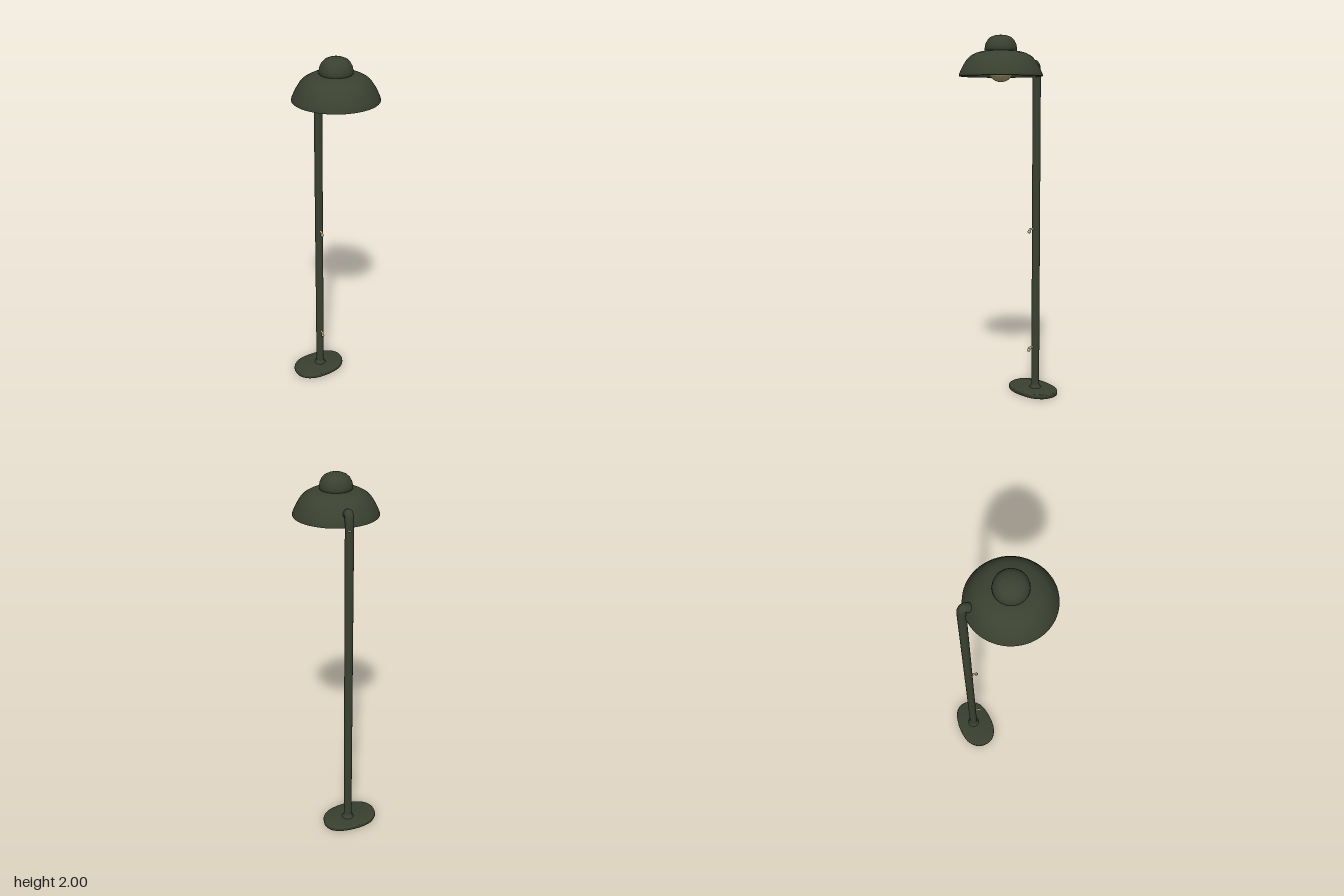
import * as THREE from 'three';
import { toCreasedNormals } from 'three/addons/utils/BufferGeometryUtils.js';

const POLE_Z = -0.177, SHADE_Z = 0.055;

export function createModel() {
  const group = new THREE.Group();
  group.name = 'floorLamp';
  const green = new THREE.MeshStandardMaterial({ color: 0x3a4130 });
  green.name = 'dark olive metal';
  const cream = new THREE.MeshStandardMaterial({ color: 0xbfae83 });
  cream.name = 'warm cream';

  const add = (name, geometry, material, x = 0, y = 0, z = 0) => {
    const mesh = new THREE.Mesh(geometry, material);
    mesh.name = name;
    mesh.position.set(x, y, z);
    group.add(mesh);
    return mesh;
  };
  const v2 = (pts) => pts.map(([x, y]) => new THREE.Vector2(x, y));
  const v3 = (pts) => pts.map((p) => new THREE.Vector3(...p));
  const lathe = (pts, segments = 48) => toCreasedNormals(new THREE.LatheGeometry(v2(pts), segments), 0.7);

  // Pebble-shaped base plate with rounded rim; outline is x, -z
  const outline = v2([
    [0.01, 0.277], [0.07, 0.271], [0.115, 0.25], [0.139, 0.215], [0.143, 0.18], [0.132, 0.135],
    [0.09, 0.093], [0.02, 0.068], [-0.06, 0.06], [-0.12, 0.076], [-0.156, 0.11], [-0.169, 0.16],
    [-0.158, 0.207], [-0.115, 0.25], [-0.05, 0.271],
  ]);
  const curve = new THREE.SplineCurve([...outline, outline[0]]);
  const bevel = 0.008;
  const base = new THREE.ExtrudeGeometry(new THREE.Shape(curve.getPoints(64).slice(0, -1)), {
    depth: 0.028 - 2 * bevel, bevelEnabled: true, bevelSize: bevel, bevelOffset: -bevel,
    bevelThickness: bevel, bevelSegments: 4,
  });
  base.rotateX(-Math.PI / 2).translate(0, bevel, 0);
  add('basePlate', toCreasedNormals(base, 0.7), green);
  add('baseCollar', lathe([[0.036, 0.026], [0.03, 0.031], [0.026, 0.038], [0.023, 0.048]], 24), green, 0, 0, POLE_Z);

  // Pole, curling forward into the shade at its top
  const path = new THREE.CurvePath();
  const bendStart = new THREE.Vector3(0, 1.78, POLE_Z);
  path.add(new THREE.LineCurve3(new THREE.Vector3(0, 0.02, POLE_Z), bendStart));
  const bend = new THREE.CatmullRomCurve3(v3([
    [0, 1.78, POLE_Z], [0, 1.82, POLE_Z + 0.001], [0, 1.848, POLE_Z + 0.006],
    [0, 1.858, POLE_Z + 0.018], [0, 1.85, POLE_Z + 0.033], [0, 1.838, POLE_Z + 0.045],
  ]));
  add('pole', new THREE.CylinderGeometry(0.0225, 0.0225, 1.76, 24, 1, true), green, 0, 0.9, POLE_Z);
  add('poleHook', new THREE.TubeGeometry(bend, 28, 0.0225, 24), green);

  // Domed shade with an inner wall and rolled lip
  add('shade', lathe([
    [0.214, 1.79], [0.217, 1.786], [0.222, 1.788], [0.221, 1.797], [0.211, 1.82], [0.197, 1.847],
    [0.181, 1.872], [0.161, 1.892], [0.136, 1.906], [0.108, 1.914], [0.078, 1.919], [0, 1.92],
  ], 64), green, 0, 0, SHADE_Z);
  add('shadeLining', lathe([
    [0, 1.91], [0.105, 1.905], [0.132, 1.898], [0.156, 1.884], [0.174, 1.865],
    [0.19, 1.842], [0.204, 1.816], [0.214, 1.79],
  ], 64), green, 0, 0, SHADE_Z);

  // Round cap on top of the shade
  add('cap', lathe([
    [0.079, 1.914], [0.085, 1.922], [0.085, 1.934], [0.081, 1.954], [0.071, 1.973],
    [0.056, 1.988], [0.036, 1.997], [0.016, 2], [0, 2],
  ]), green, 0, 0, SHADE_Z);

  // Bulb and its socket
  add('bulb', new THREE.SphereGeometry(0.069, 32, 24), cream, 0, 1.826, SHADE_Z);
  add('socket', new THREE.CylinderGeometry(0.032, 0.032, 0.045, 24), green, 0, 1.892, SHADE_Z);

  // Small cord hooks on the front of the pole
  for (const [name, y] of [['upperCordHook', 0.952], ['lowerCordHook', 0.268]]) {
    const hook = new THREE.CatmullRomCurve3(v3([
      [0, 0, -0.158], [0, 0, -0.143], [0, -0.003, -0.133], [0, -0.013, -0.131],
    ]));
    add(name, new THREE.TubeGeometry(hook, 12, 0.006, 10), cream, 0, y, 0);
    add(name + 'Tip', new THREE.SphereGeometry(0.01, 14, 10), cream, 0, y - 0.013, -0.131)
      .scale.set(0.85, 1, 1);
  }

  return group;
}
